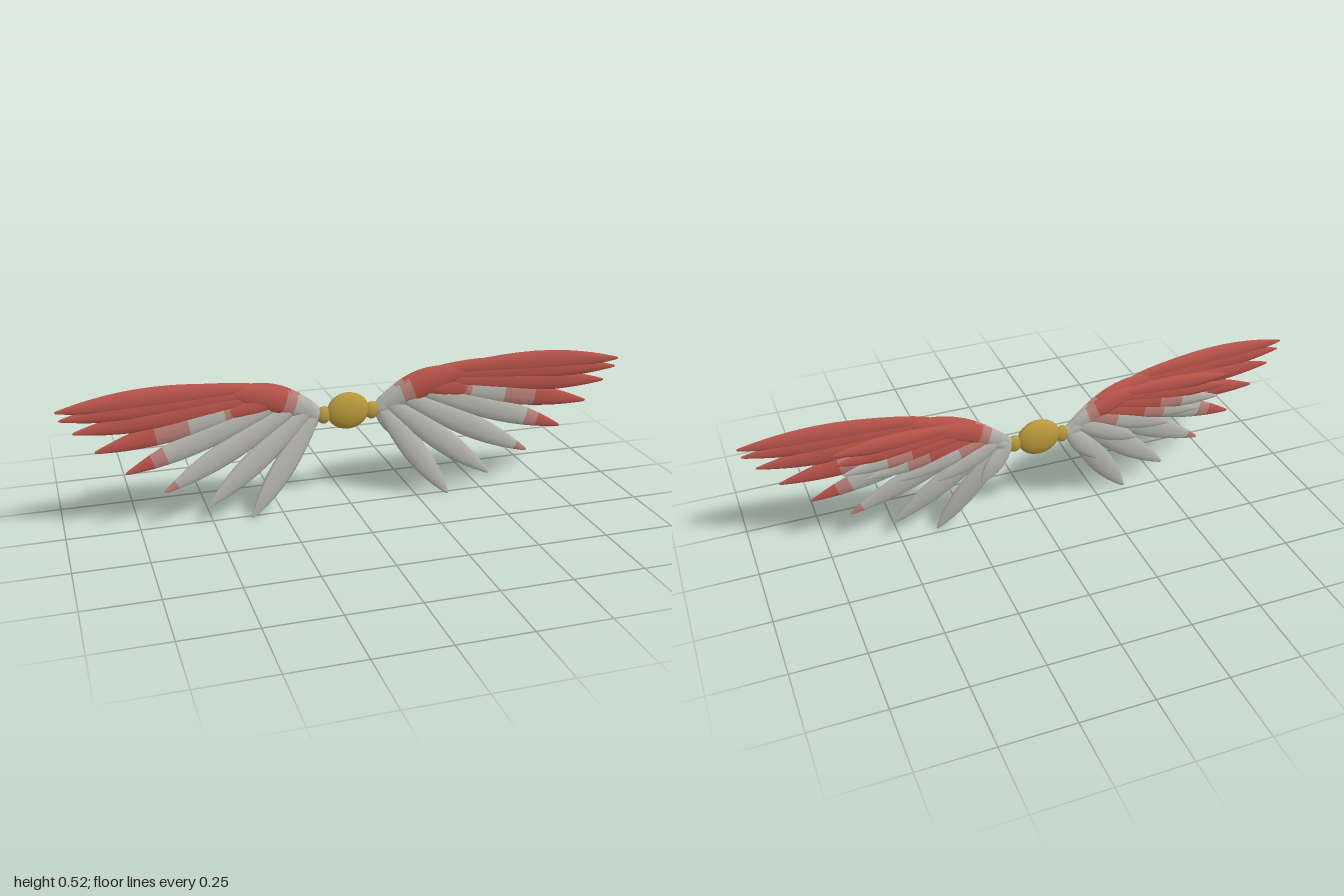
import * as THREE from 'three';

const mat = (name, color) => Object.assign(new THREE.MeshStandardMaterial({ color }), { name });

// Feather outline: [position along the shaft, relative half width]
const PROFILE = [[0, 0], [0.02, 0.3], [0.1, 0.56], [0.2, 0.74], [0.3, 0.87], [0.4, 0.96], [0.5, 1],
  [0.6, 0.97], [0.68, 0.9], [0.76, 0.77], [0.84, 0.6], [0.91, 0.4], [0.97, 0.2], [0.995, 0.1], [1, 0]];
const SIDES = 10;

// Lens-like feather from root to tip; bands lists [end position, material index]
function featherGeometry(root, tip, width, thick, bands, bow) {
  const d = tip.clone().sub(root).normalize();
  const n = new THREE.Vector3(0, 0, 1).cross(d).normalize();
  const b = d.clone().cross(n);
  const up = Math.sign(n.y) || 1;
  const pos = [], index = [];
  const geo = new THREE.BufferGeometry();
  PROFILE.forEach(([t, w], i) => {
    const c = root.clone().lerp(tip, t).addScaledVector(n, up * bow * Math.sin(Math.PI * t));
    for (let j = 0; j < SIDES; j++) {
      const a = j / SIDES * Math.PI * 2;
      const p = c.clone().addScaledVector(n, Math.cos(a) * w * width / 2)
        .addScaledVector(b, Math.sin(a) * w * thick / 2);
      pos.push(p.x, p.y, p.z);
    }
    if (i === PROFILE.length - 1) return;
    const mid = (t + PROFILE[i + 1][0]) / 2;
    geo.addGroup(index.length, SIDES * 6, bands.find(([end]) => mid <= end)[1]);
    for (let j = 0; j < SIDES; j++) {
      const p = i * SIDES + j, q = i * SIDES + (j + 1) % SIDES;
      index.push(p, q, p + SIDES, q, q + SIDES, p + SIDES);
    }
  });
  geo.setAttribute('position', new THREE.Float32BufferAttribute(pos, 3));
  geo.setIndex(index);
  geo.computeVertexNormals();
  return geo;
}

export function createModel() {
  const model = new THREE.Group();
  model.name = 'wingedOrnament';
  const grey = mat('featherGrey', 0xb4b4ac);
  const pink = mat('featherPink', 0xb98078);
  const red = mat('featherRed', 0xb9544a);
  const gold = mat('gold', 0xb8963a);
  const palette = [grey, pink, red];

  // Colour bands along a feather
  const G = [[1, 0]], R = [[1, 2]];
  const tipPink = [[0.9, 0], [1, 1]];
  const tipRed = [[0.72, 0], [0.86, 1], [1, 2]];
  const halfRed = [[0.3, 1], [0.5, 0], [0.65, 1], [1, 2]];
  const armBands = [[0.3, 0], [0.42, 1], [1, 2]];
  const redGreyTip = [[0.5, 2], [0.7, 1], [1, 0]];

  // [name, root, tip, width, thickness, bands, bow]
  const front = [
    ['arm', [0.09, 0.33, -0.035], [0.47, 0.475, 0.012], 0.095, 0.036, armBands, 0.02],
    ['flightFeather1', [0.11, 0.36, -0.03], [0.365, 0.004, 0.02], 0.085, 0.028, G, 0],
    ['flightFeather2', [0.13, 0.38, -0.025], [0.52, 0.07, 0.026], 0.088, 0.028, G, 0],
    ['flightFeather3', [0.17, 0.4, -0.02], [0.665, 0.145, 0.031], 0.088, 0.028, tipPink, 0],
    ['flightFeather4', [0.22, 0.42, -0.014], [0.79, 0.23, 0.037], 0.088, 0.028, tipRed, 0],
    ['flightFeather5', [0.26, 0.43, -0.01], [0.885, 0.32, 0.044], 0.088, 0.028, halfRed, 0],
    ['flightFeather6', [0.3, 0.44, -0.004], [0.95, 0.395, 0.05], 0.085, 0.028, R, 0],
    ['flightFeather7', [0.35, 0.455, 0.002], [0.99, 0.445, 0.055], 0.08, 0.028, R, 0.005],
    ['leadingFeather', [0.36, 0.475, 0.004], [1, 0.475, 0.057], 0.08, 0.03, R, 0.008],
    ['armCovert', [0.2, 0.43, -0.016], [0.5, 0.39, 0.012], 0.075, 0.028, [[0.75, 2], [1, 1]], 0],
  ];
  const back = [
    ['backArm', [0.09, 0.34, -0.04], [0.42, 0.465, -0.046], 0.08, 0.032, armBands, 0.02],
    ['backFeather1', [0.1, 0.365, -0.042], [0.215, 0.213, -0.05], 0.07, 0.026, G, 0],
    ['backFeather2', [0.12, 0.38, -0.042], [0.37, 0.262, -0.048], 0.075, 0.026, G, 0],
    ['backFeather3', [0.15, 0.4, -0.044], [0.5, 0.295, -0.047], 0.075, 0.026, [[0.15, 0], [0.4, 1], [1, 0]], 0],
    ['backFeather4', [0.18, 0.415, -0.045], [0.61, 0.33, -0.047], 0.075, 0.026, redGreyTip, 0],
    ['backFeather5', [0.22, 0.43, -0.046], [0.69, 0.365, -0.048], 0.072, 0.028, redGreyTip, 0],
    ['backFeather6', [0.26, 0.445, -0.046], [0.71, 0.41, -0.05], 0.07, 0.028, R, 0],
    ['backLeadingFeather', [0.28, 0.455, -0.046], [0.72, 0.45, -0.053], 0.065, 0.03, R, 0.003],
  ];

  // Mirrored wings, each with a long front layer and a short back layer
  for (const [side, s] of [['left', 1], ['right', -1]]) {
    const wing = new THREE.Group();
    wing.name = side + 'Wing';
    for (const [name, r, t, w, h, bands, bow] of [...front, ...back]) {
      const geo = featherGeometry(new THREE.Vector3(r[0] * s, r[1], r[2]),
        new THREE.Vector3(t[0] * s, t[1], t[2]), w, h, bands, bow);
      const mesh = new THREE.Mesh(geo, palette);
      mesh.name = name;
      wing.add(mesh);
    }
    // Rounded wing root and its gold joint
    const root = new THREE.Mesh(new THREE.SphereGeometry(1, 14, 10), grey);
    root.name = 'wingRoot';
    root.scale.set(0.04, 0.026, 0.018);
    root.position.set(s * 0.135, 0.35, -0.036);
    root.rotation.z = s * 0.5;
    const joint = new THREE.Mesh(new THREE.SphereGeometry(1, 14, 10), gold);
    joint.name = 'joint';
    joint.scale.set(0.026, 0.032, 0.016);
    joint.position.set(s * 0.088, 0.338, -0.037);
    wing.add(root, joint);
    model.add(wing);
  }

  // Central gold gem
  const gem = new THREE.Mesh(new THREE.SphereGeometry(1, 20, 14), gold);
  gem.name = 'centreGem';
  gem.scale.set(0.077, 0.067, 0.031);
  gem.position.set(0, 0.345, -0.037);
  model.add(gem);
  return model;
}
